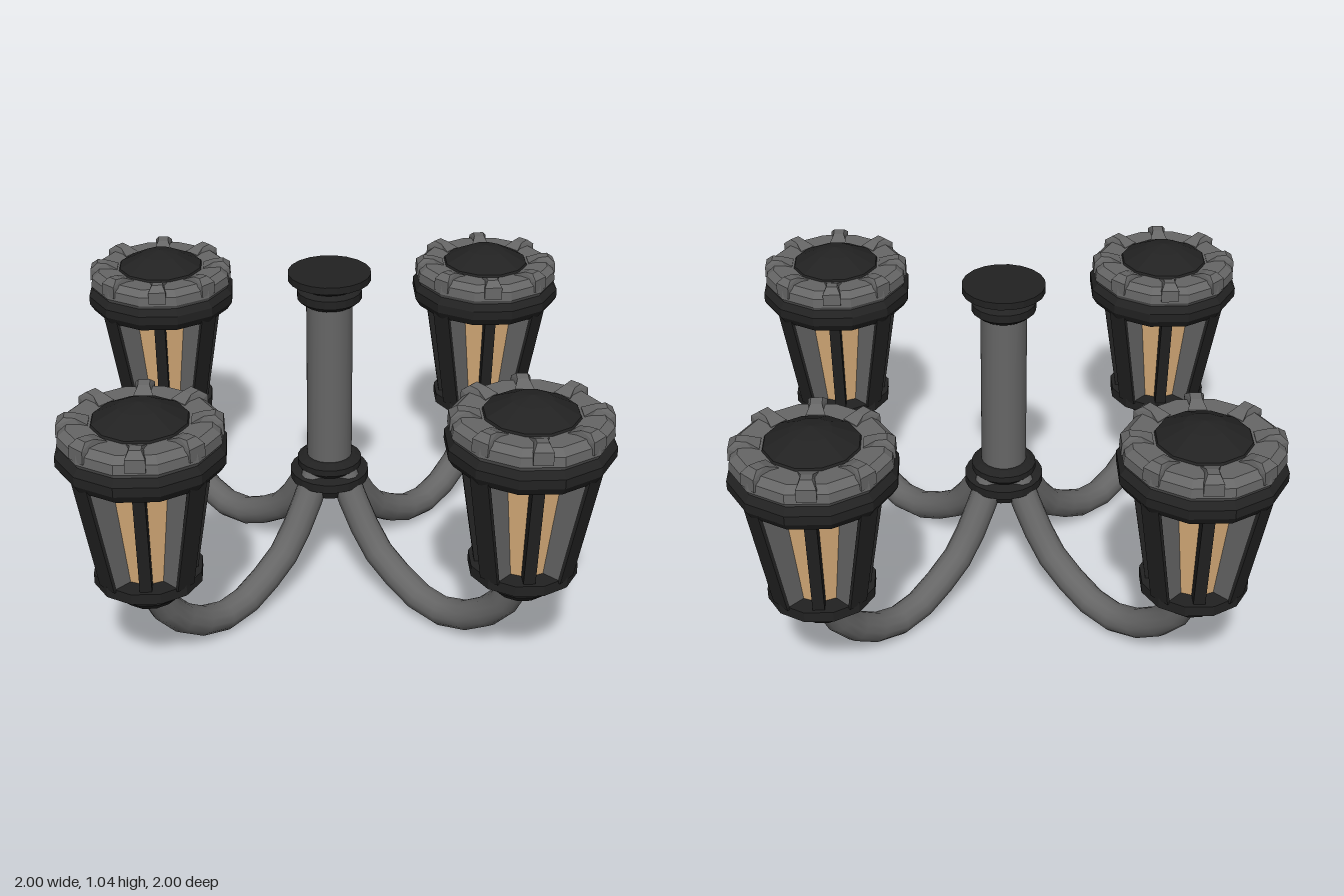
import * as THREE from 'three';

const paint = (color, flat = true) => new THREE.MeshStandardMaterial({ color, flatShading: flat });
const dark = paint(0x222222);
const grey = paint(0x666666);
const smoothGrey = paint(0x666666, false);
const amber = paint(0xd9ae7a);

function add(parent, name, geometry, material) {
  const mesh = new THREE.Mesh(geometry, material);
  mesh.name = name;
  parent.add(mesh);
  return mesh;
}

// Turned part from [radius, y] pairs listed bottom to top
function turned(points, sides) {
  return new THREE.LatheGeometry(points.map(([r, y]) => new THREE.Vector2(r, y)), sides);
}

// Upright fin: a radius/height outline given thickness across, pointing to +x
function fin(outline, width) {
  const shape = new THREE.Shape(outline.map(([r, y]) => new THREE.Vector2(r, y)));
  return new THREE.ExtrudeGeometry(shape, { depth: width, bevelEnabled: false }).translate(0, 0, -width / 2);
}

function createLantern() {
  const lantern = new THREE.Group();
  lantern.name = 'lantern';

  // Cup and base plate under the glass
  add(lantern, 'cup', turned([[0, 0.265], [0.075, 0.265], [0.105, 0.295], [0.11, 0.325], [0.1, 0.34], [0, 0.34]], 12), dark);
  add(lantern, 'basePlate', turned([[0, 0.335], [0.158, 0.335], [0.158, 0.368], [0, 0.368]], 12), dark);

  // Eight glass panes
  add(lantern, 'glass', new THREE.CylinderGeometry(0.15, 0.105, 0.36, 8).translate(0, 0.54, 0), amber);

  // Four deep main posts with dark fronts, and four slim corner posts
  const postCore = fin([[0.09, 0.36], [0.148, 0.36], [0.217, 0.72], [0.13, 0.72]], 0.058);
  const postFront = fin([[0.146, 0.36], [0.156, 0.36], [0.226, 0.72], [0.215, 0.72]], 0.062);
  const slimPost = fin([[0.09, 0.36], [0.14, 0.36], [0.195, 0.72], [0.13, 0.72]], 0.034);
  for (let i = 0; i < 4; i++) {
    const angle = i * Math.PI / 2;
    add(lantern, 'postCore', postCore, grey).rotation.y = angle;
    add(lantern, 'postFront', postFront, dark).rotation.y = angle;
    add(lantern, 'slimPost', slimPost, dark).rotation.y = angle + Math.PI / 4;
  }

  // Collar, crown ring and domed lid
  add(lantern, 'collar', turned([[0, 0.705], [0.225, 0.705], [0.241, 0.73], [0.241, 0.758], [0.222, 0.782], [0, 0.782]], 12), dark);
  add(lantern, 'crownRing', turned([[0.2, 0.775], [0.222, 0.775], [0.232, 0.792], [0.228, 0.82], [0.205, 0.838], [0.135, 0.835], [0.13, 0.8]], 12), grey);
  add(lantern, 'lid', turned([[0.145, 0.82], [0.135, 0.842], [0.06, 0.88], [0, 0.893]], 12), dark);

  // Raised studs around the crown
  const stud = fin([[0.14, 0.8], [0.229, 0.8], [0.227, 0.838], [0.205, 0.856], [0.175, 0.853], [0.14, 0.838]], 0.055);
  const p = stud.attributes.position;
  for (let i = 0; i < p.count; i++) {
    const taper = p.getY(i) > 0.845 ? 0.6 : 1;
    p.setZ(i, p.getZ(i) * taper);
  }
  for (let i = 0; i < 8; i++) add(lantern, 'stud', stud, grey).rotation.y = i * Math.PI / 4;

  return lantern;
}

export function createModel() {
  const model = new THREE.Group();
  model.name = 'chandelier';

  // Central column with its ceiling mount and lower hub
  add(model, 'column', new THREE.CylinderGeometry(0.07, 0.07, 0.6, 20).translate(0, 0.66, 0), smoothGrey);
  add(model, 'ceilingMount', turned([
    [0, 0.94], [0.08, 0.94], [0.097, 0.955], [0.097, 0.98], [0.082, 0.992],
    [0.095, 1.0], [0.124, 1.014], [0.124, 1.036], [0, 1.036],
  ], 20), dark);
  add(model, 'hub', turned([
    [0, 0.305], [0.085, 0.305], [0.095, 0.33], [0.122, 0.345], [0.122, 0.372],
    [0.09, 0.38], [0.1, 0.392], [0.1, 0.412], [0.08, 0.425], [0, 0.425],
  ], 20), dark);

  // Curved arms, each holding a lantern
  const path = new THREE.CatmullRomCurve3([
    [0.055, 0.38], [0.1, 0.295], [0.2, 0.155], [0.3, 0.09], [0.4, 0.05],
    [0.5, 0.05], [0.6, 0.095], [0.69, 0.175], [0.745, 0.28],
  ].map(([x, y]) => new THREE.Vector3(x, y, 0)));
  const armGeometry = new THREE.TubeGeometry(path, 10, 0.046, 12);
  for (let i = 0; i < 4; i++) {
    const branch = new THREE.Group();
    branch.name = 'branch';
    branch.rotation.y = i * Math.PI / 2;
    add(branch, 'arm', armGeometry, smoothGrey);
    const lantern = createLantern();
    lantern.position.x = 0.757;
    branch.add(lantern);
    model.add(branch);
  }
  return model;
}
